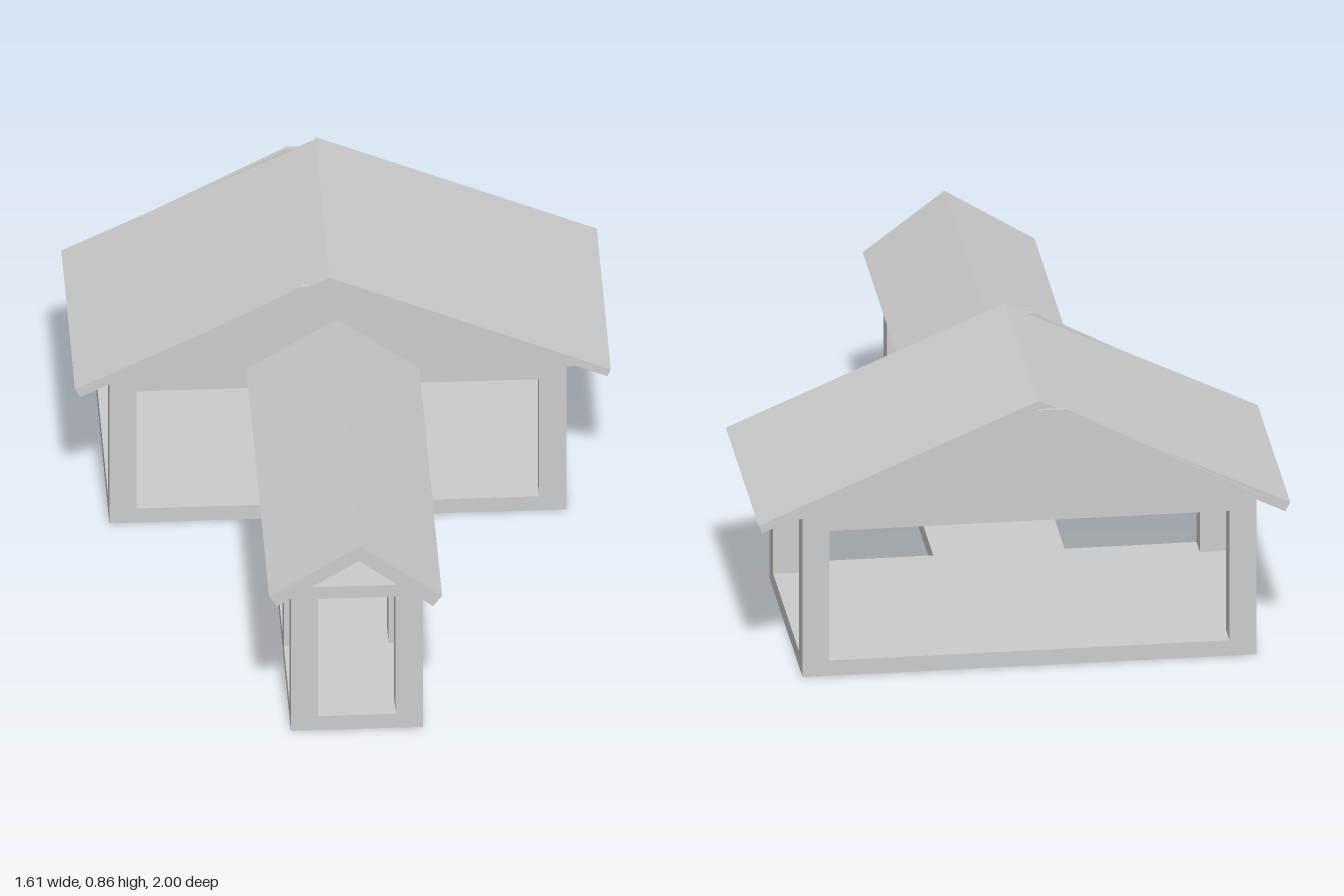
import * as THREE from 'three';

const material = new THREE.MeshStandardMaterial({ color: 0xcccccc, flatShading: true });

export function createModel() {
  const model = new THREE.Group();

  const add = (name, geometry, parent = model) => {
    const mesh = new THREE.Mesh(geometry, material);
    mesh.name = name;
    parent.add(mesh);
  };

  // Box given by its limits on each axis
  const box = (name, [x0, x1], [y0, y1], [z0, z1], parent) =>
    add(name, new THREE.BoxGeometry(x1 - x0, y1 - y0, z1 - z0)
      .translate((x0 + x1) / 2, (y0 + y1) / 2, (z0 + z1) / 2), parent);

  // Front outline extruded from z0 to z1
  const prism = (name, points, [z0, z1], parent) => {
    const shape = new THREE.Shape(points.map(([x, y]) => new THREE.Vector2(x, y)));
    add(name, new THREE.ExtrudeGeometry(shape, { depth: z1 - z0, bevelEnabled: false })
      .translate(0, 0, z0), parent);
  };

  // Floor, ceiling and pairs of posts along the given z ranges
  const frame = (name, [x0, x1], zRange, postRanges) => {
    const group = new THREE.Group();
    group.name = name;
    model.add(group);
    box('floor', [x0, x1], [0, 0.05], zRange, group);
    box('ceiling', [x0, x1], [0.472, 0.515], zRange, group);
    for (const z of postRanges) {
      box('rightPost', [x0, x0 + 0.082], [0.05, 0.472], z, group);
      box('leftPost', [x1 - 0.082, x1], [0.05, 0.472], z, group);
    }
    return group;
  };

  // Main hall
  const hall = frame('hall', [-0.702, 0.672], [-1, -0.235], [[-1, -0.912], [-0.315, -0.235]]);
  prism('attic', [[-0.715, 0.515], [0.7, 0.515], [-0.04, 0.83]], [-0.985, -0.25], hall);
  const gable = [[-0.715, 0.515], [0.7, 0.515], [-0.04, 0.83], [-0.125, 0.83]];
  prism('frontGable', gable, [-0.25, -0.235], hall);
  prism('backGable', gable, [-1, -0.985], hall);
  prism('hallRoofRight', [[-0.805, 0.486], [-0.79, 0.457], [-0.04, 0.825], [-0.04, 0.86]], [-0.99, -0.235], hall);
  prism('hallRoofLeft', [[-0.04, 0.86], [-0.04, 0.83], [0.795, 0.475], [0.805, 0.5]], [-1, -0.235], hall);

  // Long porch with an open-ended gable roof
  const porch = frame('porch', [-0.22, 0.177], [-0.235, 0.92],
    [[0.06, 0.14], [0.45, 0.535], [0.835, 0.92]]);
  prism('porchRoofRight', [[-0.29, 0.54], [-0.267, 0.503], [-0.02, 0.657], [-0.017, 0.71]], [-0.235, 1], porch);
  prism('porchRoofLeft', [[-0.017, 0.71], [-0.02, 0.657], [0.203, 0.487], [0.23, 0.523]], [-0.235, 1], porch);

  return model;
}
